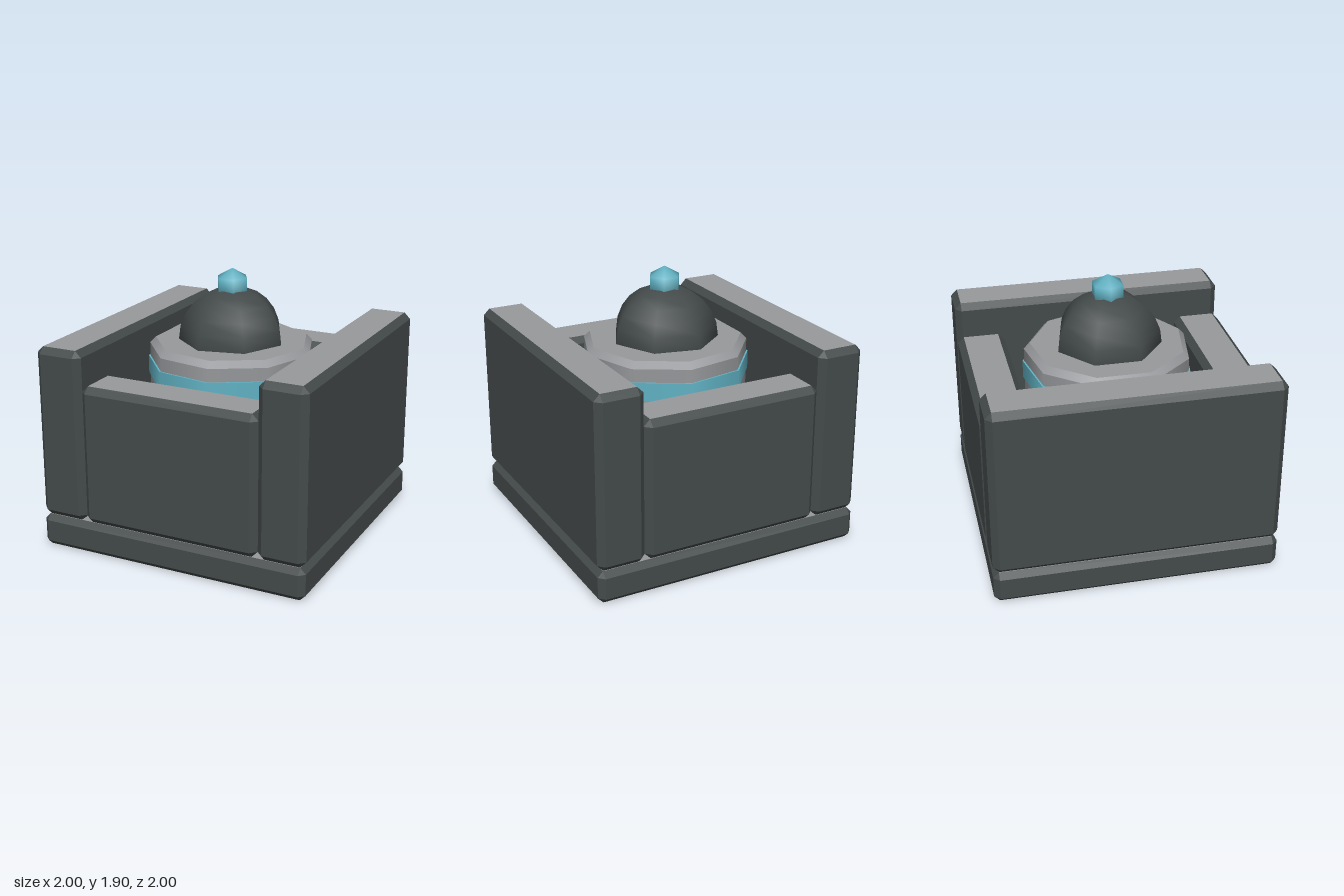
import * as THREE from 'three';
import { ConvexGeometry } from 'three/addons/geometries/ConvexGeometry.js';

const mat = (name, color) => {
  const m = new THREE.MeshStandardMaterial({ color });
  m.name = name;
  return m;
};

// Box with all edges chamfered; group 0 = sides and bevels, group 1 = flat top and bottom
function chamferBox(w, h, d, c) {
  const size = [w / 2, h / 2, d / 2];
  const points = [];
  for (const sx of [-1, 1]) for (const sy of [-1, 1]) for (const sz of [-1, 1]) {
    for (let axis = 0; axis < 3; axis++) {
      const p = [sx, sy, sz].map((s, i) => s * (size[i] - (i === axis ? 0 : c)));
      points.push(new THREE.Vector3(...p));
    }
  }
  const hull = new ConvexGeometry(points);
  const pos = hull.attributes.position, nor = hull.attributes.normal;
  const sides = [], caps = [];
  for (let i = 0; i < pos.count; i += 3) {
    (Math.abs(nor.getY(i)) > 0.99 ? caps : sides).push(i, i + 1, i + 2);
  }
  hull.setIndex([...sides, ...caps]);
  hull.addGroup(0, sides.length, 0);
  hull.addGroup(sides.length, caps.length, 1);
  return hull;
}

export function createModel() {
  const model = new THREE.Group();
  model.name = 'walledTurret';
  const dark = mat('darkStone', 0x444a4a);
  const grey = mat('greyMetal', 0x97999c);
  const teal = mat('tealGlow', 0x62b4c6);

  const add = (name, geometry, material, x, y, z) => {
    const mesh = new THREE.Mesh(geometry, material);
    mesh.name = name;
    mesh.position.set(x, y, z);
    model.add(mesh);
    return mesh;
  };

  // Base slab
  add('base', chamferBox(2, 0.233, 2, 0.04), [dark, grey], 0, 0.1165, 0);

  // Tall side walls and lower front and back walls
  for (const s of [1, -1]) {
    add(s > 0 ? 'leftWall' : 'rightWall', chamferBox(0.345, 1.232, 2, 0.045), [dark, grey], s * 0.8275, 0.849, 0);
    add(s > 0 ? 'frontWall' : 'backWall', chamferBox(1.31, 0.997, 0.345, 0.045), [dark, grey], 0, 0.7315, s * 0.8275);
  }

  // Nine-sided drum, stacked from the floor up, with a corner towards +x
  const drum = (name, rTop, rBottom, y0, y1, material, open) => {
    const g = new THREE.CylinderGeometry(rTop, rBottom, y1 - y0, 9, 1, open);
    g.rotateY(Math.PI / 2);
    add(name, g, material, 0, (y0 + y1) / 2, 0);
  };
  drum('drumBody', 0.593, 0.593, 0.233, 1.345, grey, true);
  drum('drumBand', 0.605, 0.605, 1.12, 1.25, teal, false);
  drum('drumBevel', 0.55, 0.593, 1.345, 1.39, grey, true);
  drum('drumTop', 0.55, 0.55, 1.38, 1.39, grey, false);

  // Seven-sided dome
  const dome = new THREE.SphereGeometry(0.38, 7, 6, 0, Math.PI * 2, 0, Math.PI / 2);
  dome.rotateY(Math.PI);
  add('dome', dome, dark, 0, 1.39, 0);

  // Crystal tip
  add('crystal', new THREE.SphereGeometry(0.132, 6, 3), teal, 0, 1.773, 0);

  return model;
}
